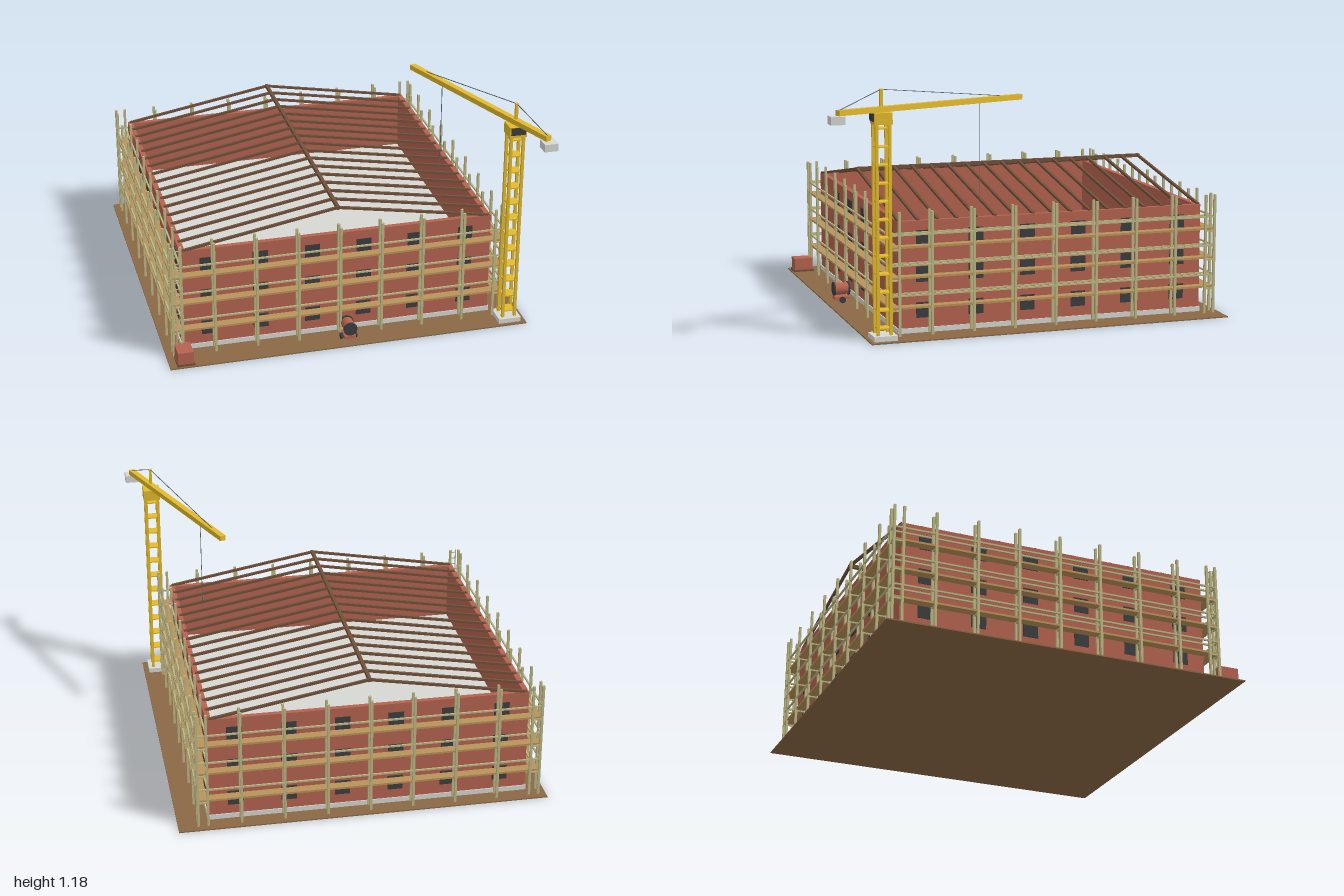
import * as THREE from 'three';

const mat = (name, color) => {
  const m = new THREE.MeshStandardMaterial({ color });
  m.name = name;
  return m;
};

export function createModel() {
  const M = {
    earth: mat('earth', 0x8a6844), brick: mat('brick', 0xb4624f),
    concrete: mat('concrete', 0xd6d7d2), glass: mat('dark grey', 0x3c3d3f),
    timber: mat('roof timber', 0x70503a), plank: mat('scaffold plank', 0xb8935a),
    pole: mat('scaffold pole', 0xbdb684), yellow: mat('crane yellow', 0xe3ba2c),
    cable: mat('cable', 0x60646a),
  };
  const model = new THREE.Group();
  const group = (name) => {
    const g = new THREE.Group();
    g.name = name;
    model.add(g);
    return g;
  };
  // Box given by its limits on each axis
  const box = (parent, name, m, x0, x1, y0, y1, z0, z1) => {
    const b = new THREE.Mesh(new THREE.BoxGeometry(x1 - x0, y1 - y0, z1 - z0), m);
    b.position.set((x0 + x1) / 2, (y0 + y1) / 2, (z0 + z1) / 2);
    b.name = name;
    parent.add(b);
  };
  // Rectangular bar running between two points
  const bar = (parent, name, m, a, b, w, h = w) => {
    const p = new THREE.Vector3(...a), q = new THREE.Vector3(...b);
    const s = new THREE.Mesh(new THREE.BoxGeometry(w, h, p.distanceTo(q)), m);
    s.position.copy(p).add(q).multiplyScalar(0.5);
    s.lookAt(q);
    s.name = name;
    parent.add(s);
  };
  const post = (parent, name, m, x, z, y0, y1, w) =>
    box(parent, name, m, x - w / 2, x + w / 2, y0, y1, z - w / 2, z + w / 2);

  box(model, 'ground', M.earth, -0.925, 0.885, 0, 0.006, -1, 0.81);

  // Building shell
  const X0 = -0.833, X1 = 0.733, Z0 = -0.91, Z1 = 0.64, CX = -0.05, CZ = -0.135;
  const top = 0.545, t = 0.026;
  const shell = group('building');
  box(shell, 'foundation', M.concrete, X0 - 0.005, X1 + 0.005, 0.006, 0.03, Z0 - 0.005, Z1 + 0.005);
  box(shell, 'frontWall', M.brick, X0, X1, 0.03, top, Z1 - t, Z1);
  box(shell, 'backWall', M.brick, X0, X1, 0.03, top, Z0, Z0 + t);
  box(shell, 'leftWall', M.brick, X1 - t, X1, 0.03, top, Z0 + t, Z1 - t);
  box(shell, 'rightWall', M.brick, X0, X0 + t, 0.03, top, Z0 + t, Z1 - t);
  box(shell, 'floorSlab', M.concrete, X0 + t, X1 - t, 0.23, 0.25, Z0 + t, Z1 - t);

  // Windows on all four walls
  const h = 0.0375, d = 0.003;
  for (const y of [0.115, 0.288, 0.462])
    for (let i = 0; i < 6; i++) {
      const o = (i - 2.5) * 0.26, x = CX + o, z = CZ + o;
      for (const [a, b] of [[Z1, Z1 + d], [Z0 - d, Z0]])
        box(shell, 'window', M.glass, x - h, x + h, y - h, y + h, a, b);
      for (const [a, b] of [[X1, X1 + d], [X0 - d, X0]])
        box(shell, 'window', M.glass, a, b, y - h, y + h, z - h, z + h);
    }

  // Open roof frame
  const roof = group('roofFrame');
  for (let i = 0; i < 17; i++) {
    const z = Z0 + 0.007 + (i * (Z1 - Z0 - 0.014)) / 16;
    for (const x of [X0 + 0.01, X1 - 0.01])
      bar(roof, 'rafter', M.timber, [x, top, z], [CX, 0.682, z], 0.013, 0.012);
  }
  box(roof, 'ridgeBeam', M.timber, CX - 0.008, CX + 0.008, 0.672, 0.69, Z0, Z1);

  // Scaffold: outer and inner poles, decks and rails round the building
  const scaffold = group('scaffold');
  const ox0 = -0.887, ox1 = 0.787, oz0 = -0.963, oz1 = 0.695, gap = 0.047, n = 8, pw = 0.012;
  const levels = [0.14, 0.285, 0.43];
  for (let i = 0; i <= n; i++) {
    const x = ox0 + ((ox1 - ox0) * i) / n, z = oz0 + ((oz1 - oz0) * i) / n;
    for (const [zo, zi] of [[oz1, oz1 - gap], [oz0, oz0 + gap]]) {
      post(scaffold, 'pole', M.pole, x, zo, 0.006, 0.6, pw);
      post(scaffold, 'innerPole', M.pole, x, zi, 0.006, 0.6, pw);
      for (const y of levels)
        bar(scaffold, 'crossTube', M.pole, [x, y - 0.01, zo], [x, y - 0.01, zi], 0.007);
    }
    for (const [xo, xi] of [[ox1, ox1 - gap], [ox0, ox0 + gap]]) {
      if (i > 0 && i < n) post(scaffold, 'pole', M.pole, xo, z, 0.006, 0.6, pw);
      post(scaffold, 'innerPole', M.pole, xi, z, 0.006, 0.6, pw);
      for (const y of levels)
        bar(scaffold, 'crossTube', M.pole, [xo, y - 0.01, z], [xi, y - 0.01, z], 0.007);
    }
  }
  for (const y of levels) {
    for (const [a, b] of [[oz1 - gap, oz1], [oz0, oz0 + gap]])
      box(scaffold, 'deck', M.plank, ox0, ox1, y - 0.005, y + 0.005, a, b);
    for (const [a, b] of [[ox1 - gap, ox1], [ox0, ox0 + gap]])
      box(scaffold, 'deck', M.plank, a, b, y - 0.005, y + 0.005, oz0 + gap, oz1 - gap);
    const r = y + 0.06;
    for (const z of [oz0, oz1])
      bar(scaffold, 'guardRail', M.pole, [ox0, r, z], [ox1, r, z], 0.008);
    for (const x of [ox0, ox0 + gap, ox1 - gap, ox1])
      bar(scaffold, 'guardRail', M.pole, [x, r, oz0], [x, r, oz1], 0.008);
  }

  // Access ladder at the corner
  const ladder = group('ladder');
  for (const x of [-0.872, -0.848]) post(ladder, 'ladderRail', M.pole, x, 0.705, 0.006, 0.6, 0.005);
  for (let y = 0.04; y < 0.59; y += 0.034)
    bar(ladder, 'rung', M.pole, [-0.872, y, 0.705], [-0.848, y, 0.705], 0.004);

  // Tower crane
  const crane = group('crane');
  const cx = 0.803, cz = 0.735, m = 0.031;
  box(crane, 'craneBase', M.concrete, cx - 0.057, cx + 0.057, 0.006, 0.03, cz - 0.057, cz + 0.057);
  for (const sx of [-m, m])
    for (const sz of [-m, m]) post(crane, 'mastPost', M.yellow, cx + sx, cz + sz, 0.03, 1.03, 0.014);
  for (let i = 0; i < 12; i++) {
    const y = 0.06 + i * 0.0855;
    box(crane, 'mastPlate', M.yellow, cx - m, cx + m, y - 0.003, y + 0.003, cz - m, cz + m);
  }
  box(crane, 'cab', M.yellow, cx - 0.043, cx + 0.043, 1.02, 1.075, cz - 0.043, cz + 0.043);
  box(crane, 'cabWindow', M.glass, cx - 0.037, cx + 0.037, 1.034, 1.072, cz + 0.043, cz + 0.047);
  const along = (s, y) => [cx - 0.342 * s, y, cz - 0.94 * s];
  bar(crane, 'jib', M.yellow, along(-0.24, 1.088), along(0.825, 1.088), 0.03, 0.026);
  box(crane, 'counterweight', M.concrete, 0.853, 0.92, 1.037, 1.075, 0.932, 1.0);
  post(crane, 'apexPost', M.yellow, cx, cz, 1.1, 1.182, 0.014);
  bar(crane, 'tieCable', M.cable, along(0, 1.18), along(0.71, 1.1), 0.003);
  bar(crane, 'tieCable', M.cable, along(0, 1.18), along(-0.23, 1.1), 0.003);
  bar(crane, 'hoistCable', M.cable, along(0.575, 1.08), along(0.575, 0.62), 0.003);

  // Brick stack on a pallet
  const stack = group('brickStack');
  box(stack, 'pallet', M.timber, -0.89, -0.803, 0.006, 0.016, 0.692, 0.802);
  box(stack, 'bricks', M.brick, -0.885, -0.808, 0.016, 0.078, 0.697, 0.797);

  // Concrete mixer
  const mixer = group('mixer');
  const cyl = (name, mt, r, len, x, y, z, axis) => {
    const c = new THREE.Mesh(new THREE.CylinderGeometry(r, r, len, 16), mt);
    c.rotation[axis] = Math.PI / 2;
    c.position.set(x, y, z);
    c.name = name;
    mixer.add(c);
  };
  box(mixer, 'mixerFrame', M.brick, -0.048, 0.008, 0.02, 0.036, 0.695, 0.77);
  cyl('drum', M.brick, 0.03, 0.07, -0.02, 0.075, 0.733, 'x');
  for (const z of [0.696, 0.77]) cyl('drumEnd', M.glass, 0.035, 0.008, -0.02, 0.075, z, 'x');
  for (const x of [-0.056, 0.016]) cyl('wheel', M.glass, 0.016, 0.012, x, 0.022, 0.733, 'z');

  return model;
}
